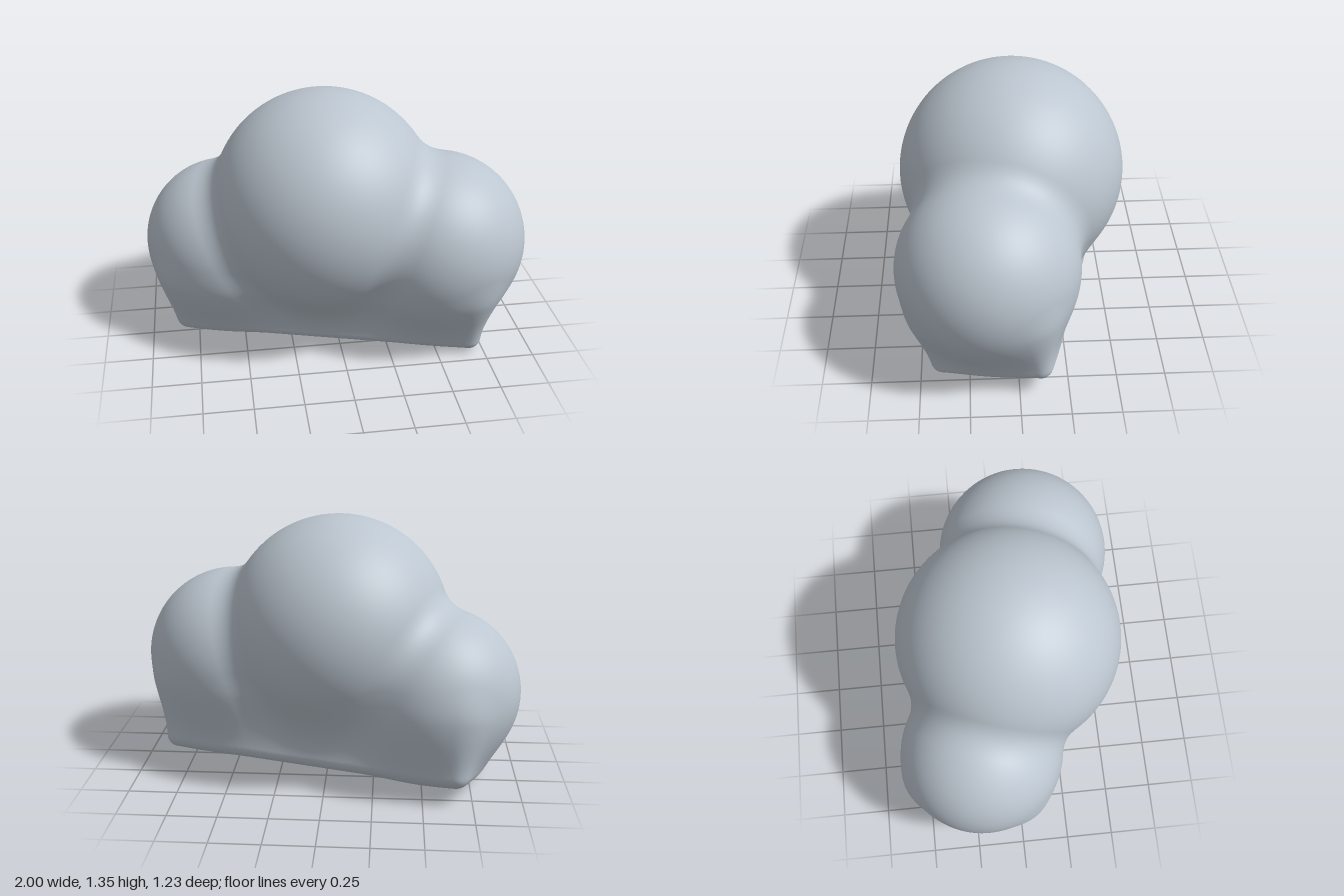
import * as THREE from 'three';
import { mergeVertices } from 'three/addons/utils/BufferGeometryUtils.js';

// Three puffs: centre and radius
const puffs = [
  { c: new THREE.Vector3(-0.05, 0.75, 0.005), r: 0.59 },
  { c: new THREE.Vector3(0.53, 0.55, 0.145), r: 0.465 },
  { c: new THREE.Vector3(-0.57, 0.47, -0.185), r: 0.43 },
];

// Rounded base block, turned and tipped slightly
const base = {
  c: new THREE.Vector3(0, 0.238, -0.05),
  half: new THREE.Vector3(0.83, 0.2, 0.32),
  round: 0.06,
  inverse: new THREE.Quaternion().setFromEuler(new THREE.Euler(0.155, -0.277, 0, 'YXZ')).invert(),
};

// Union of two distances with a soft fillet of width k
function blend(a, b, k) {
  const h = Math.max(k - Math.abs(a - b), 0) / k;
  return Math.min(a, b) - h * h * k * 0.25;
}

const q = new THREE.Vector3();
function baseDistance(p) {
  q.copy(p).sub(base.c).applyQuaternion(base.inverse);
  const x = Math.abs(q.x) - base.half.x + base.round;
  const y = Math.abs(q.y) - base.half.y + base.round;
  const z = Math.abs(q.z) - base.half.z + base.round;
  const outside = Math.hypot(Math.max(x, 0), Math.max(y, 0), Math.max(z, 0));
  return outside + Math.min(Math.max(x, y, z), 0) - base.round;
}

// Distance to the whole cloud
function cloudDistance(p) {
  let d = Infinity;
  for (const { c, r } of puffs) {
    const s = p.distanceTo(c) - r;
    d = d === Infinity ? s : blend(d, s, 0.1);
  }
  return blend(d, baseDistance(p), 0.16);
}

// Shrink-wrap a fine ball onto the cloud, with normals from the distance slope
function cloudGeometry() {
  let geo = new THREE.IcosahedronGeometry(1, 64);
  geo.deleteAttribute('uv');
  geo.deleteAttribute('normal');
  geo = mergeVertices(geo, 1e-5);
  const pos = geo.attributes.position;
  const normals = new Float32Array(pos.count * 3);
  const centre = new THREE.Vector3(0, 0.42, -0.02);
  const dir = new THREE.Vector3(), p = new THREE.Vector3(), n = new THREE.Vector3(), t = new THREE.Vector3();
  const e = 0.002;
  for (let i = 0; i < pos.count; i++) {
    dir.fromBufferAttribute(pos, i).normalize();
    let reach = 1.6;
    for (let s = 0; s < 120; s++) {
      p.copy(centre).addScaledVector(dir, reach);
      const d = cloudDistance(p);
      if (d < 0.0004) break;
      reach -= d * 0.95;
    }
    pos.setXYZ(i, p.x, p.y, p.z);
    for (const axis of ['x', 'y', 'z']) {
      t.copy(p)[axis] += e;
      const ahead = cloudDistance(t);
      t[axis] -= 2 * e;
      n[axis] = ahead - cloudDistance(t);
    }
    n.normalize().toArray(normals, i * 3);
  }
  geo.setAttribute('normal', new THREE.BufferAttribute(normals, 3));
  return geo;
}

export function createModel() {
  const group = new THREE.Group();
  group.name = 'cloud';
  const paleGrey = new THREE.MeshStandardMaterial({ color: 0xbcc6d0 });
  paleGrey.name = 'paleGrey';
  const body = new THREE.Mesh(cloudGeometry(), paleGrey);
  body.name = 'cloudBody';
  group.add(body);
  return group;
}
